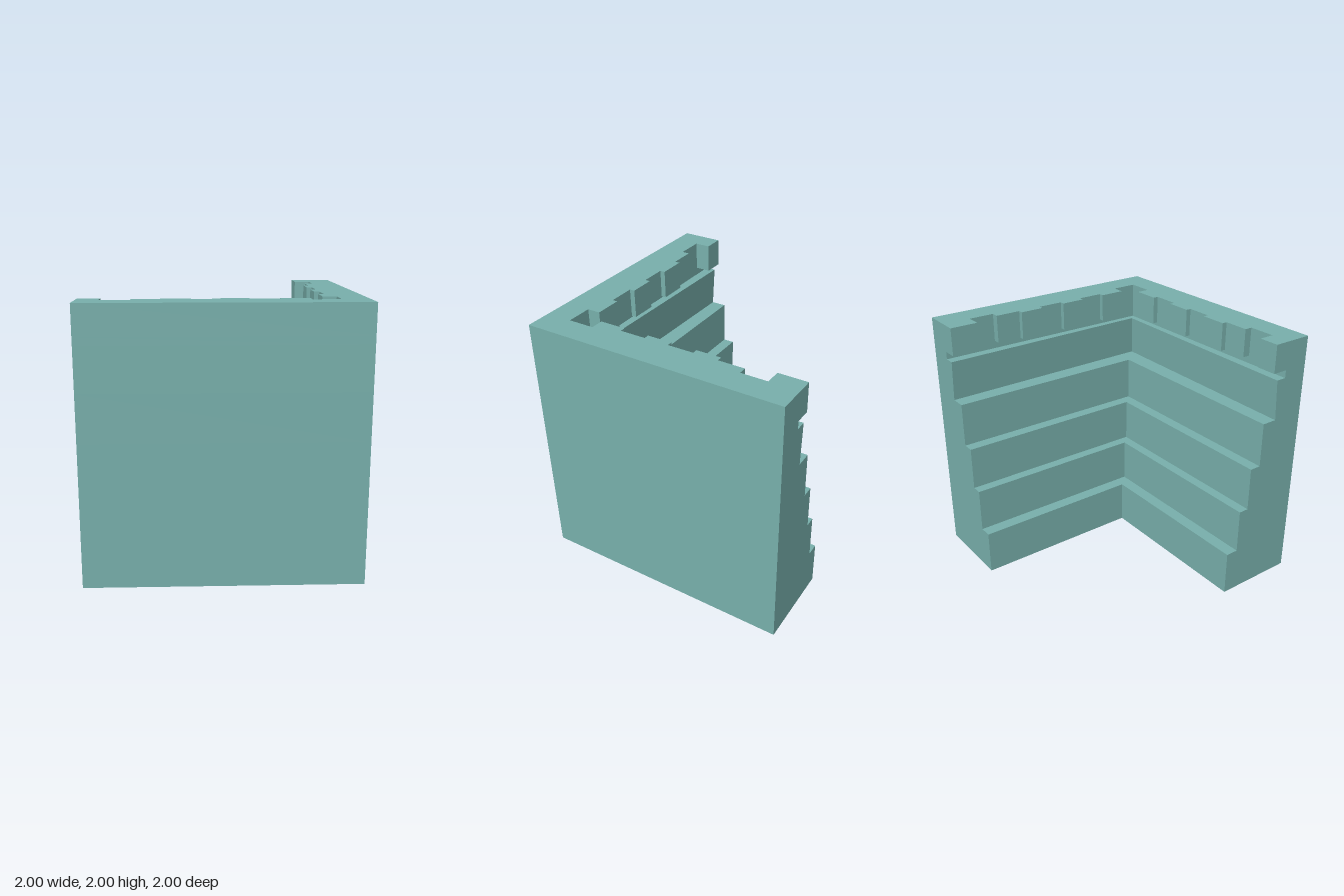
import * as THREE from 'three';

const material = new THREE.MeshStandardMaterial({ color: 0x78b0ac, flatShading: true });

// L-shaped cross-section: inner face at "end" on the free ends, "corner" at the inside corner
const section = ([y, end, corner = end]) => [
  [1, y, 1], [-1, y, 1], [-1, y, end], [corner, y, corner], [end, y, -1], [1, y, -1],
];

// Height, inner face at the ends, inner face at the corner
const levels = [
  [0, 0.35], [0.355, 0.35],
  [0.355, 0.45], [0.705, 0.45],
  [0.705, 0.53], [1.05, 0.53],
  [1.05, 0.62], [1.4, 0.62],
  [1.4, 0.74, 0.77], [1.72, 0.72, 0.75],
  [1.72, 0.8], [1.78, 0.8],
];

function steppedWall() {
  const rings = levels.map(section);
  const verts = [];
  const quad = (a, b, c, d) => verts.push(...a, ...b, ...c, ...a, ...c, ...d);

  for (let i = 0; i < rings.length - 1; i++) {
    const a = rings[i], b = rings[i + 1];
    const ledge = levels[i][0] === levels[i + 1][0];
    for (let j = 0; j < 6; j++) {
      if (ledge && j !== 2 && j !== 3) continue; // ledges exist only on the inside
      const k = (j + 1) % 6;
      quad(a[j], b[j], b[k], a[k]);
    }
  }
  // Underside
  const p = rings[0];
  quad(p[0], p[1], p[2], p[3]);
  quad(p[0], p[3], p[4], p[5]);

  const geometry = new THREE.BufferGeometry();
  geometry.setAttribute('position', new THREE.Float32BufferAttribute(verts, 3));
  geometry.computeVertexNormals();
  return geometry;
}

// Inner outline of the top band along one arm: block edges and their depths
const depths = [0.68, 0.8, 0.74, 0.7, 0.74, 0.7, 0.74, 0.7];
const frontStops = [-1, -0.84, -0.63, -0.43, -0.22, -0.02, 0.18, 0.39, 0.6];
const sideStops = [-1, -0.78, -0.58, -0.38, -0.19, 0.01, 0.2, 0.4, 0.6];
const toothed = (stops) => depths.flatMap((d, i) => [[stops[i], d], [stops[i + 1], d]]);

function toothedBand() {
  const front = toothed(frontStops);
  const side = toothed(sideStops).map(([along, d]) => [d, along]).reverse();
  const outline = [
    [1, 1], [-1, 1], ...front,
    [0.6, 0.8], [0.8, 0.8], [0.8, 0.6], // corner recess
    ...side, [1, -1],
  ];
  const shape = new THREE.Shape(outline.map(([x, z]) => new THREE.Vector2(x, z)));
  const geometry = new THREE.ExtrudeGeometry(shape, { depth: 0.22, bevelEnabled: false });
  return geometry.rotateX(Math.PI / 2).translate(0, 2, 0);
}

export function createModel() {
  const group = new THREE.Group();
  group.name = 'steppedCornerWall';
  const add = (name, geometry) => {
    const mesh = new THREE.Mesh(geometry, material);
    mesh.name = name;
    group.add(mesh);
  };
  add('steppedWall', steppedWall());
  add('toothedTopBand', toothedBand());
  return group;
}
